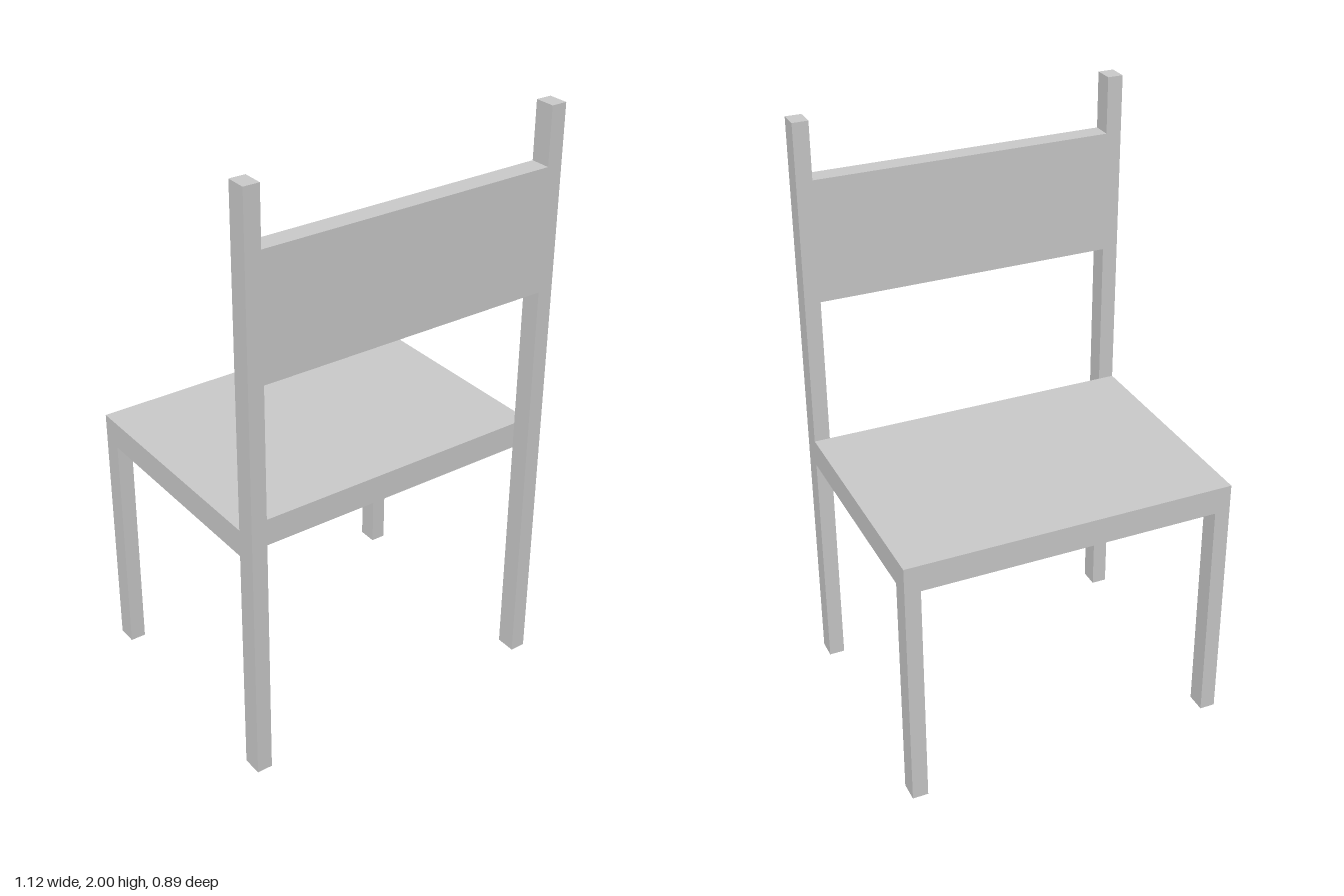
import * as THREE from 'three';

export function createModel() {
  const model = new THREE.Group();
  const material = new THREE.MeshStandardMaterial({ color: 0xcccccc, flatShading: true });

  const halfWidth = 0.56, halfDepth = 0.443;
  const postWidth = 0.053, postDepth = 0.068;
  const seatBottom = 0.803, seatTop = 0.895;

  // Box given by its extents along x, y and z
  function addBox(name, [x0, x1], [y0, y1], [z0, z1]) {
    const mesh = new THREE.Mesh(new THREE.BoxGeometry(x1 - x0, y1 - y0, z1 - z0), material);
    mesh.position.set((x0 + x1) / 2, (y0 + y1) / 2, (z0 + z1) / 2);
    mesh.name = name;
    model.add(mesh);
  }

  const innerX = halfWidth - postWidth, innerZ = halfDepth - postDepth;

  // Short legs under the seat and tall posts that carry the backrest
  for (const [side, xs] of [['left', [innerX, halfWidth]], ['right', [-halfWidth, -innerX]]]) {
    addBox(`${side}ShortLeg`, xs, [0, seatBottom], [-halfDepth, -innerZ]);
    addBox(`${side}BackPost`, xs, [0, 2], [innerZ, halfDepth]);
  }

  // Seat slab butting against the posts
  addBox('seat', [-halfWidth, halfWidth], [seatBottom, seatTop], [-halfDepth, innerZ]);

  // Backrest panel between the posts, flush with them
  addBox('backrest', [-innerX, innerX], [1.398, 1.81], [innerZ, halfDepth]);

  return model;
}
